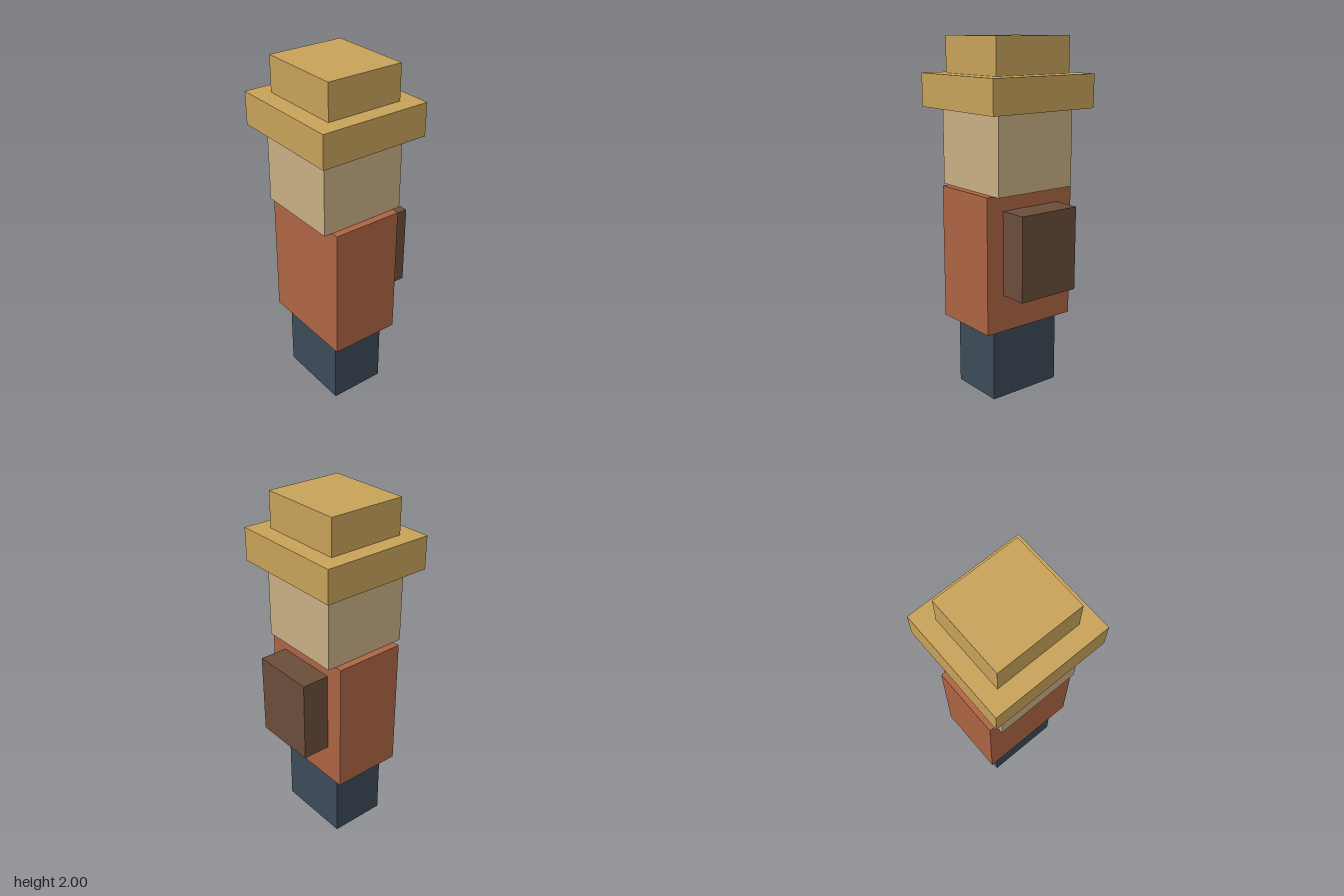
import * as THREE from 'three';

const material = (name, color) => {
  const m = new THREE.MeshStandardMaterial({ color });
  m.name = name;
  return m;
};

export function createModel() {
  const group = new THREE.Group();
  group.name = 'hikerFigure';

  const navy = material('navy trousers', 0x3c4a57);
  const rust = material('rust jacket', 0xae6545);
  const tan = material('tan skin', 0xc9b084);
  const straw = material('straw hat', 0xc8a25a);
  const brown = material('brown leather', 0x6b4d3a);

  // Box centred on x, given by its width and its y and z limits
  const block = (name, mat, width, y0, y1, z0, z1) => {
    const mesh = new THREE.Mesh(new THREE.BoxGeometry(width, y1 - y0, z1 - z0), mat);
    mesh.name = name;
    mesh.position.set(0, (y0 + y1) / 2, (z0 + z1) / 2);
    group.add(mesh);
  };

  // Body
  block('legs', navy, 0.45, 0, 0.415, -0.145, 0.185);
  block('torso', rust, 0.59, 0.415, 1.182, -0.184, 0.228);
  block('head', tan, 0.506, 1.182, 1.615, -0.23, 0.276);

  // Hat
  block('hatBrim', straw, 0.684, 1.615, 1.8, -0.304, 0.344);
  block('hatCrown', straw, 0.496, 1.8, 2, -0.206, 0.243);

  // Pack on the back
  block('backpack', brown, 0.376, 0.624, 1.095, -0.345, -0.184);

  return group;
}
